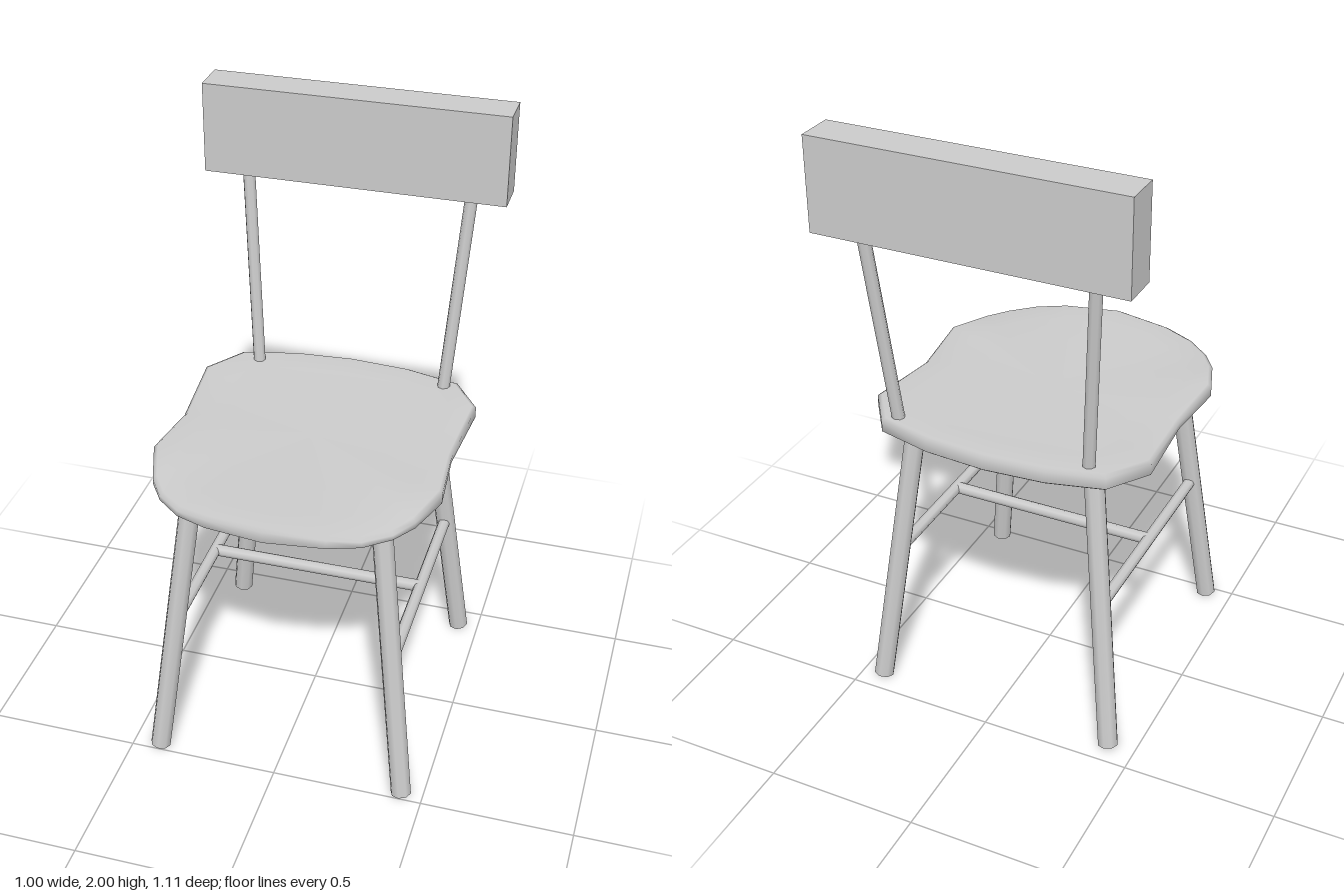
import * as THREE from 'three';
import { mergeVertices } from 'three/addons/utils/BufferGeometryUtils.js';

const material = new THREE.MeshStandardMaterial({ color: 0xcccccc });

// Round bar between two points
function bar(name, a, b, radius, sides = 8) {
  const from = new THREE.Vector3(...a), to = new THREE.Vector3(...b);
  const dir = to.clone().sub(from);
  const mesh = new THREE.Mesh(new THREE.CylinderGeometry(radius, radius, dir.length(), sides), material);
  mesh.name = name;
  mesh.position.copy(from).add(to).multiplyScalar(0.5);
  mesh.quaternion.setFromUnitVectors(new THREE.Vector3(0, 1, 0), dir.normalize());
  return mesh;
}

// Saddle seat: mirrored outline swept through rings from top centre to bottom centre
function seatGeometry() {
  // x, z and how far the top rim dips
  const half = [
    [0, 0.555, 0], [0.19, 0.53, 0.01], [0.29, 0.495, 0.02], [0.37, 0.43, 0.024],
    [0.42, 0.355, 0.02], [0.47, 0.21, 0.003], [0.45, -0.02, 0.02], [0.47, -0.3, 0],
    [0.38, -0.43, 0], [0.2, -0.475, 0], [0, -0.49, 0],
  ];
  const outline = [...half, ...half.slice(1, -1).reverse().map(([x, z, d]) => [-x, z, d])];
  // scale, height, share of the dip
  const rings = [
    [0, 1.028, 0], [0.55, 1.031, 0.1], [0.8, 1.034, 0.45], [0.975, 1.038, 0.95],
    [1, 1.03, 1], [1, 0.992, 0.1], [0.975, 0.982, 0], [0.6, 0.98, 0], [0, 0.98, 0],
  ];
  const n = outline.length, positions = [], index = [];
  for (const [s, y, share] of rings) {
    for (const [x, z, dip] of outline) positions.push(x * s - 0.005, y - dip * share, z * s);
  }
  for (let r = 0; r < rings.length - 1; r++) {
    for (let i = 0; i < n; i++) {
      const a = r * n + i, b = r * n + (i + 1) % n;
      if (r < rings.length - 2) index.push(a, a + n, b + n);
      if (r > 0) index.push(a, b + n, b);
    }
  }
  const geometry = new THREE.BufferGeometry();
  geometry.setAttribute('position', new THREE.Float32BufferAttribute(positions, 3));
  geometry.setIndex(index);
  const merged = mergeVertices(geometry);
  merged.computeVertexNormals();
  return merged;
}

export function createModel() {
  const chair = new THREE.Group();
  chair.name = 'chair';

  const seat = new THREE.Mesh(seatGeometry(), material);
  seat.name = 'seat';
  chair.add(seat);

  // Splayed legs, side stretchers and back spindles, mirrored left and right
  const cx = 0.01, cz = 0.025;
  for (const s of [1, -1]) {
    const side = s > 0 ? 'left' : 'right';
    for (const f of [1, -1]) {
      chair.add(bar(`${side}${f > 0 ? 'Front' : 'Back'}Leg`,
        [cx + s * 0.418, 0.004, cz + f * 0.449], [cx + s * 0.303, 1.0, cz + f * 0.339], 0.034));
    }
    const x = cx + s * 0.36;
    chair.add(bar(`${side}Stretcher`, [x, 0.508, cz - 0.392], [x, 0.508, cz + 0.392], 0.02));
    chair.add(bar(`${side}Spindle`,
      [cx + s * 0.322, 1.0, -0.391], [cx + s * 0.374, 1.75, -0.471], 0.021));
  }
  chair.add(bar('crossStretcher', [cx - 0.36, 0.508, cz], [cx + 0.36, 0.508, cz], 0.02));

  // Plank backrest
  const back = new THREE.Mesh(new THREE.BoxGeometry(1, 0.3, 0.125), material);
  back.name = 'backrest';
  back.position.set(0, 1.85, -0.4925);
  chair.add(back);

  return chair;
}
